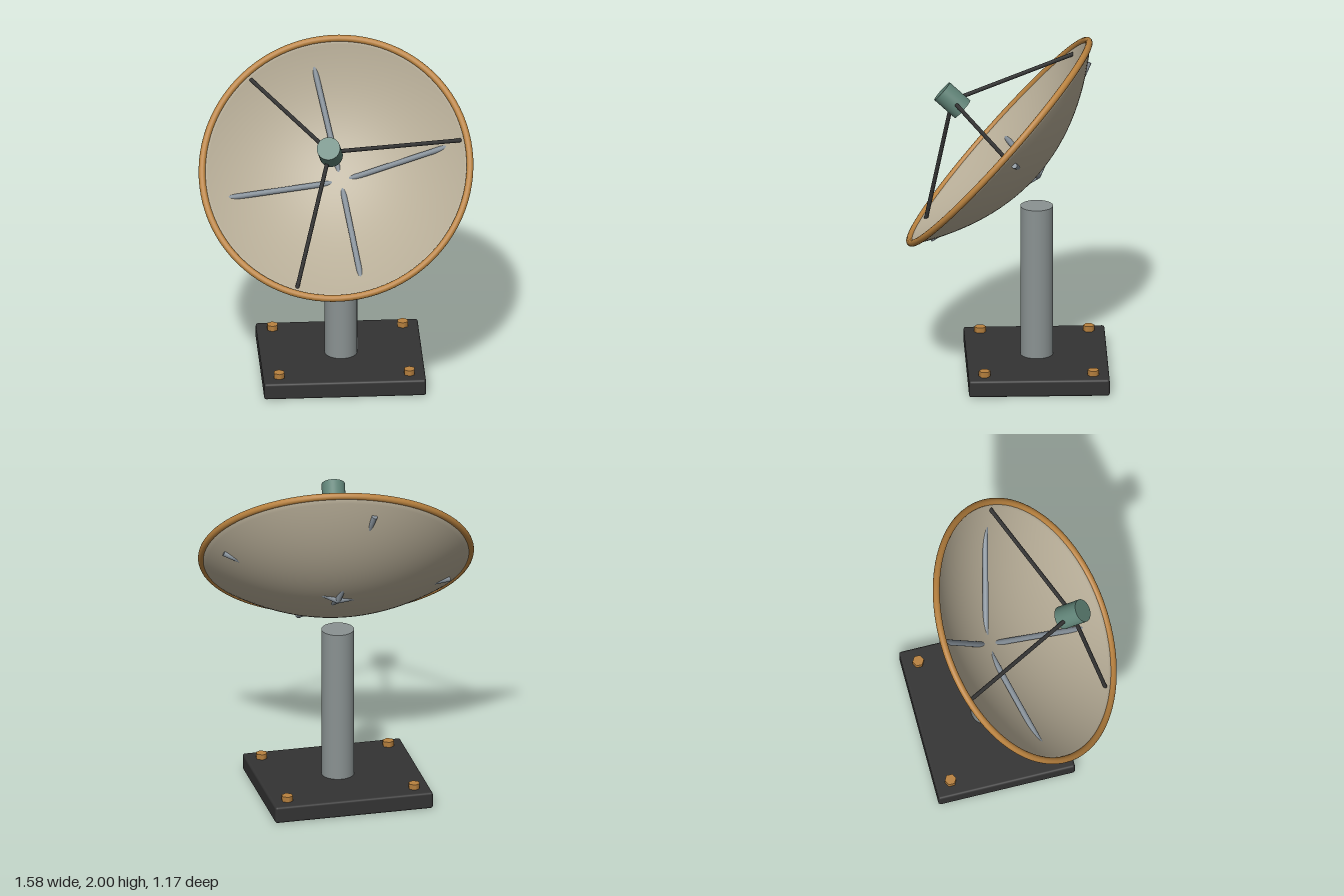
import * as THREE from 'three';
import { RoundedBoxGeometry } from 'three/addons/geometries/RoundedBoxGeometry.js';

const mat = (name, color) => {
  const m = new THREE.MeshStandardMaterial({ color });
  m.name = name;
  return m;
};

export function createModel() {
  const beige = mat('beige shell', 0xb8ae98);
  const brass = mat('brass', 0xb9823f);
  const steel = mat('grey steel', 0x8a9292);
  const ribGrey = mat('blue grey', 0x87919a);
  const green = mat('grey green', 0x5f8276);
  const dark = mat('charcoal', 0x333333);

  const model = new THREE.Group();
  model.name = 'dishAntenna';

  const add = (parent, name, geometry, material, x = 0, y = 0, z = 0) => {
    const mesh = new THREE.Mesh(geometry, material);
    mesh.name = name;
    mesh.position.set(x, y, z);
    parent.add(mesh);
    return mesh;
  };

  // Straight round bar between two points
  const bar = (parent, name, a, b, radius, material) => {
    const dir = b.clone().sub(a);
    const mesh = add(parent, name, new THREE.CylinderGeometry(radius, radius, dir.length(), 16), material);
    mesh.position.copy(a).add(b).multiplyScalar(0.5);
    mesh.quaternion.setFromUnitVectors(new THREE.Vector3(0, 1, 0), dir.normalize());
  };

  // Stand: base plate, column and four hex bolts
  const stand = new THREE.Group();
  stand.name = 'stand';
  stand.position.set(0.04, 0, -0.172);
  model.add(stand);
  add(stand, 'basePlate', new RoundedBoxGeometry(0.94, 0.1, 0.816, 3, 0.014), dark, 0, 0.05, 0);
  add(stand, 'column', new THREE.CylinderGeometry(0.095, 0.095, 0.91, 40), steel, 0, 0.555, 0);
  for (const sx of [-1, 1]) {
    for (const sz of [-1, 1]) {
      add(stand, 'bolt', new THREE.CylinderGeometry(0.034, 0.034, 0.04, 6), brass, sx * 0.378, 0.112, sz * 0.315);
    }
  }

  // Dish assembly: local +y is the pointing axis, origin at the back of the bowl
  const dish = new THREE.Group();
  dish.name = 'dish';
  dish.position.set(0.04, 1.2, -0.172);
  dish.rotation.order = 'YXZ';
  dish.rotation.set(THREE.MathUtils.degToRad(49), THREE.MathUtils.degToRad(-11), 0);
  model.add(dish);

  const R = 0.78, K = 0.46, T = 0.022, STEPS = 24;
  const polar = (deg, r, y) => {
    const t = THREE.MathUtils.degToRad(deg);
    return new THREE.Vector3(r * Math.cos(t), y, -r * Math.sin(t));
  };

  // Thick parabolic bowl: outer skin up to the rim, then inner skin back down
  const profile = [];
  for (let i = 0; i <= STEPS; i++) {
    const r = (R * i) / STEPS;
    profile.push(new THREE.Vector2(r, K * r * r));
  }
  for (let i = STEPS; i >= 0; i--) {
    const r = (R * i) / STEPS;
    profile.push(new THREE.Vector2(r, K * r * r + T));
  }
  add(dish, 'bowl', new THREE.LatheGeometry(profile, 80), beige);

  // Rolled rim
  const rim = add(dish, 'rim', new THREE.TorusGeometry(R, 0.02, 14, 96), brass, 0, 0.29, 0);
  rim.rotation.x = Math.PI / 2;

  // Four straight ribs that pass through the bowl
  for (let i = 0; i < 4; i++) {
    const a = 17 + i * 90;
    bar(dish, 'rib', polar(a, 0, -0.01), polar(a, 0.69, 0.211), 0.0167, ribGrey);
  }

  // Feed horn held by three struts
  const FEED = 0.656;
  add(dish, 'feed', new THREE.CylinderGeometry(0.068, 0.068, 0.16, 40), green, 0, FEED, 0);
  for (let i = 0; i < 3; i++) {
    bar(dish, 'strut', polar(17 + i * 120, 0.741, 0.268), new THREE.Vector3(0, FEED, 0), 0.012, dark);
  }

  return model;
}
